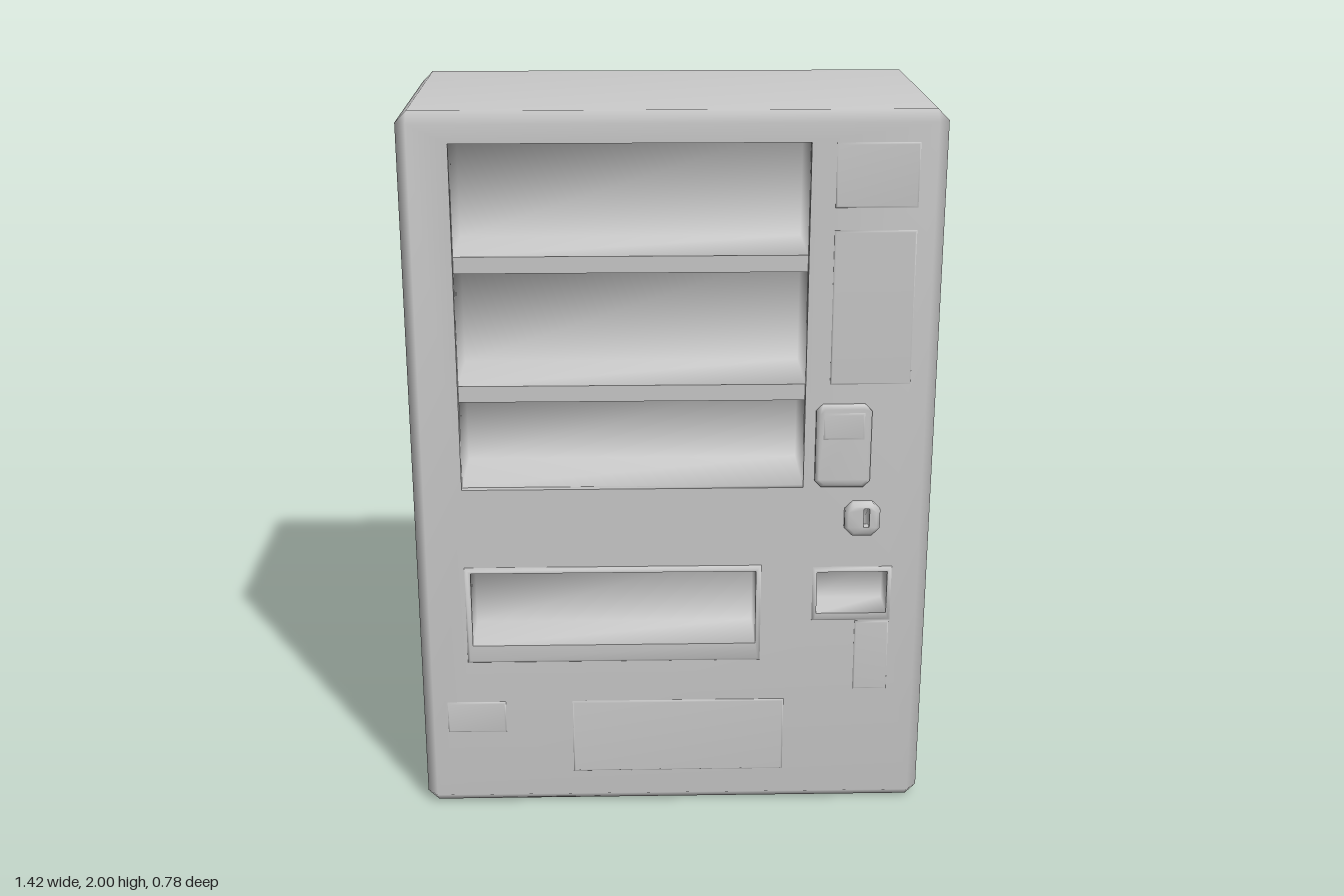
import * as THREE from 'three';
import { mergeGeometries, mergeVertices } from 'three/addons/utils/BufferGeometryUtils.js';

const F = 0.365; // front face depth
const WINDOW = [-0.575, 0.355, 0.975, 1.92];
const SLOT = [-0.56, 0.23, 0.51, 0.73];
const RETURN = [0.4, 0.595, 0.6, 0.725];

// Rectangle loop at depth z: 4 corners, or 8 when a corner cut c is given
function ring([x0, x1, y0, y1], z, c) {
  if (c === undefined) return [[x0, y0, z], [x1, y0, z], [x1, y1, z], [x0, y1, z]];
  return [[x0, y0 + c, z], [x0 + c, y0, z], [x1 - c, y0, z], [x1, y0 + c, z],
    [x1, y1 - c, z], [x1 - c, y1, z], [x0 + c, y1, z], [x0, y1 - c, z]];
}

const inset = ([x0, x1, y0, y1], d) => [x0 + d, x1 - d, y0 + d, y1 - d];

// Skin a list of loops, optionally closing the first or last one
function loft(rings, capEnd = true, capStart = false) {
  const n = rings[0].length, index = [];
  for (let r = 0; r < rings.length - 1; r++) {
    for (let i = 0; i < n; i++) {
      const a = r * n + i, b = r * n + (i + 1) % n;
      index.push(a, b, b + n, a, b + n, a + n);
    }
  }
  const last = (rings.length - 1) * n;
  for (let i = 1; i < n - 1; i++) {
    if (capEnd) index.push(last, last + i, last + i + 1);
    if (capStart) index.push(0, i + 1, i);
  }
  const g = new THREE.BufferGeometry();
  g.setAttribute('position', new THREE.Float32BufferAttribute(rings.flat(2), 3));
  g.setIndex(index);
  g.computeVertexNormals();
  return g;
}

function rectPath(r, PathType) {
  return new PathType(ring(r, 0).map(([x, y]) => new THREE.Vector2(x, y)));
}

export function createModel() {
  const group = new THREE.Group();
  const material = new THREE.MeshStandardMaterial({ color: 0xcccccc });
  const add = (name, geometry) => {
    const mesh = new THREE.Mesh(geometry, material);
    mesh.name = name;
    group.add(mesh);
  };

  // Cabinet: bevelled shell and a front face with three openings
  const outer = [-0.71, 0.71, 0, 2], inner = inset(outer, 0.03);
  const shell = loft([ring(inner, -0.39, 0), ring(outer, -0.36, 0.03),
    ring(outer, F - 0.03, 0.03), ring(inner, F, 0)], false, true);
  const faceShape = rectPath(inner, THREE.Shape);
  for (const hole of [WINDOW, SLOT, RETURN]) faceShape.holes.push(rectPath(hole, THREE.Path));
  const face = new THREE.ShapeGeometry(faceShape).translate(0, 0, F);
  face.deleteAttribute('uv');
  face.deleteAttribute('normal');
  shell.deleteAttribute('normal');
  const cabinet = mergeVertices(mergeGeometries([shell, face]));
  cabinet.computeVertexNormals();
  add('cabinet', cabinet);

  // Display window: shallow reveal, three bays and two shelf edges
  const shelfZ = F - 0.02;
  add('windowReveal', loft([ring(WINDOW, F), ring(WINDOW, shelfZ)], false));
  for (const [y0, y1] of [[1.62, 1.92], [1.265, 1.575], [0.975, 1.22]]) {
    const bay = [WINDOW[0], WINDOW[1], y0, y1];
    add('displayBay', loft([ring(bay, shelfZ), ring(bay, F - 0.25)]));
  }
  for (const [y0, y1] of [[1.575, 1.62], [1.22, 1.265]]) {
    add('shelfEdge', loft([ring([WINDOW[0], WINDOW[1], y0, y1], shelfZ)]));
  }

  // Recessed trays with raised surrounds
  const tray = (name, opening, surround, depth) => {
    add(name + 'Surround', loft([ring(surround, F), ring(inset(surround, 0.008), F + 0.008),
      ring(opening, F + 0.008)], false));
    add(name, loft([ring(opening, F + 0.008), ring(opening, F - depth)]));
  };
  tray('deliveryTray', SLOT, [-0.577, 0.245, 0.455, 0.745], 0.15);
  tray('changeTray', RETURN, [0.388, 0.608, 0.575, 0.738], 0.1);

  // Thin raised plates
  const plates = {
    displayPlate: [0.42, 0.635, 1.75, 1.92],
    selectionPanel: [0.42, 0.635, 1.27, 1.69],
    changePlate: [0.51, 0.605, 0.36, 0.572],
    cornerLabel: [-0.64, -0.475, 0.235, 0.33],
    kickPlate: [-0.285, 0.315, 0.105, 0.33],
  };
  for (const [name, r] of Object.entries(plates)) {
    add(name, loft([ring(r, F), ring(inset(r, 0.005), F + 0.005)]));
  }

  // Payment box with a raised upper pad
  const pay = [0.385, 0.535, 0.98, 1.215];
  add('paymentBox', loft([ring(pay, F, 0.018), ring(pay, F + 0.012, 0.018),
    ring(inset(pay, 0.01), F + 0.02, 0.014)]));
  const pad = [0.405, 0.515, 1.12, 1.195];
  add('paymentPad', loft([ring(pad, F + 0.02), ring(inset(pad, 0.006), F + 0.023)]));

  // Coin slot: rounded boss with a narrow slit
  const coin = [0.47, 0.567, 0.838, 0.935], slit = [0.521, 0.537, 0.865, 0.92];
  add('coinBoss', loft([ring(coin, F, 0.022), ring(coin, F + 0.016, 0.022),
    ring(inset(coin, 0.01), F + 0.025, 0.016), ring(slit, F + 0.025, 0.002)], false));
  add('coinSlit', loft([ring(slit, F + 0.025, 0.002), ring(slit, F + 0.002, 0.002)]));

  return group;
}
